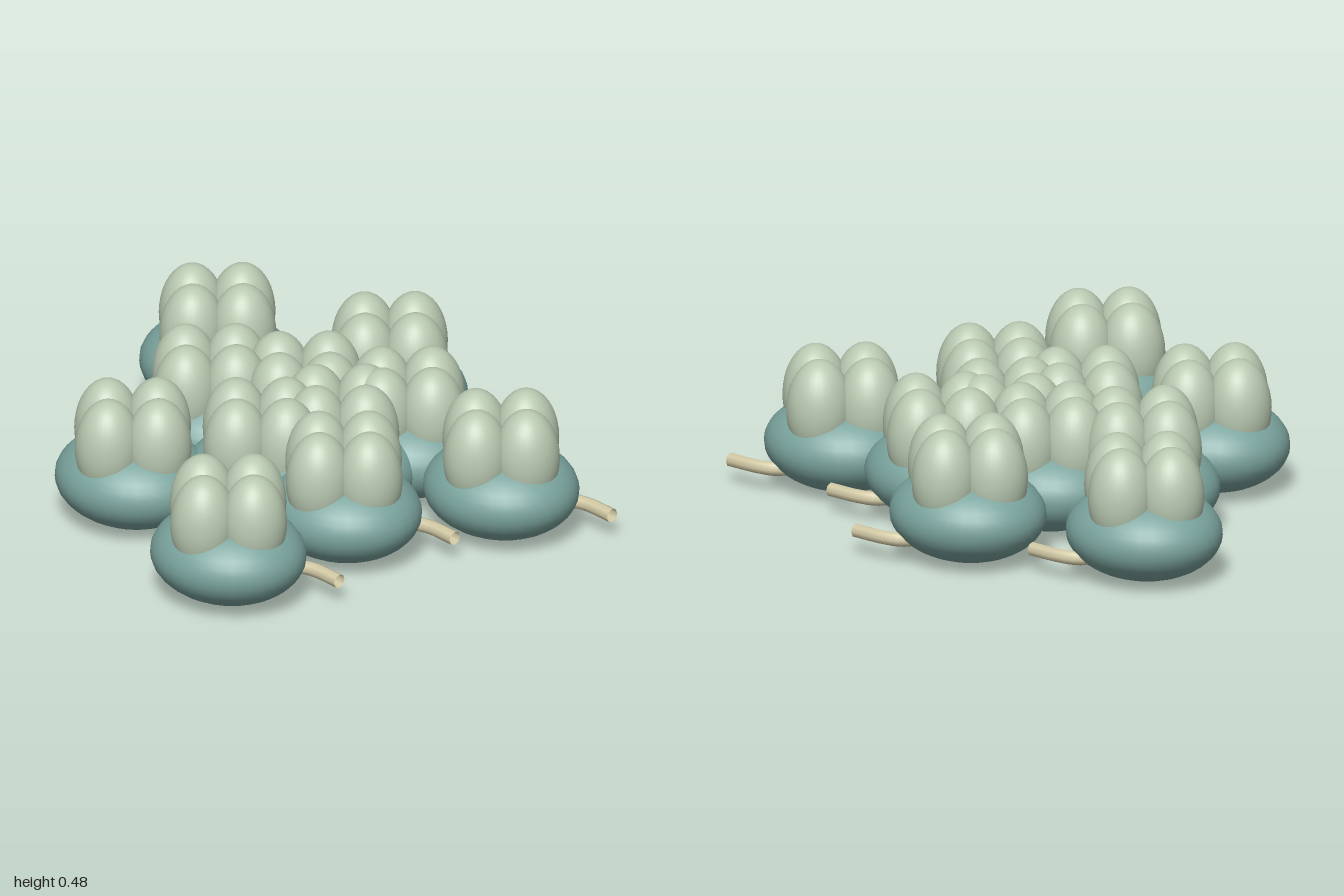
import * as THREE from 'three';

export function createModel() {
  const model = new THREE.Group();
  model.name = 'podCluster';

  const material = (name, color) => {
    const m = new THREE.MeshStandardMaterial({ color });
    m.name = name;
    return m;
  };
  const teal = material('teal', 0x7aa39d);
  const sage = material('paleSage', 0xb9c9b1);
  const straw = material('straw', 0xd2c9a5);
  straw.side = THREE.DoubleSide;

  const ellipsoid = (rx, ry, rz) => new THREE.SphereGeometry(1, 32, 20).scale(rx, ry, rz);
  const bodyGeo = ellipsoid(0.278, 0.16, 0.256);
  const lobeGeo = ellipsoid(0.112, 0.177, 0.115);

  // Short open stem, hooking out from under the body
  const stemPath = new THREE.CatmullRomCurve3([
    [0.09, 0.085, -0.13], [0.125, 0.085, -0.195], [0.19, 0.086, -0.219], [0.317, 0.083, -0.217],
  ].map((p) => new THREE.Vector3(...p)));
  const stemGeo = new THREE.TubeGeometry(stemPath, 12, 0.025, 8, false);

  // One pod: flattened body, four upright lobes and a stem
  function makePod(x, z) {
    const pod = new THREE.Group();
    pod.name = 'pod';
    pod.position.set(x, 0, z);
    const add = (name, geo, mat, px = 0, py = 0, pz = 0) => {
      const mesh = new THREE.Mesh(geo, mat);
      mesh.name = name;
      mesh.position.set(px, py, pz);
      pod.add(mesh);
    };
    add('body', bodyGeo, teal, 0, 0.162, 0);
    for (const [lx, lz] of [[1, 0], [-1, 0], [0, 1], [0, -1]]) {
      add('lobe', lobeGeo, sage, lx * 0.121, 0.31, lz * 0.122);
    }
    add('stem', stemGeo, straw);
    return pod;
  }

  // Pod centres as [x, z]
  const centres = [
    [-0.722, -0.428], [-0.136, -0.668], [0.68, -0.37], [-0.396, -0.058],
    [-0.284, 0.441], [0.378, 0.658], [0.421, 0.135], [0.03, 0.135],
    [0.213, -0.39], [-0.125, -0.235], [0.15, -0.13],
  ];
  for (const [x, z] of centres) model.add(makePod(x, z));
  return model;
}
